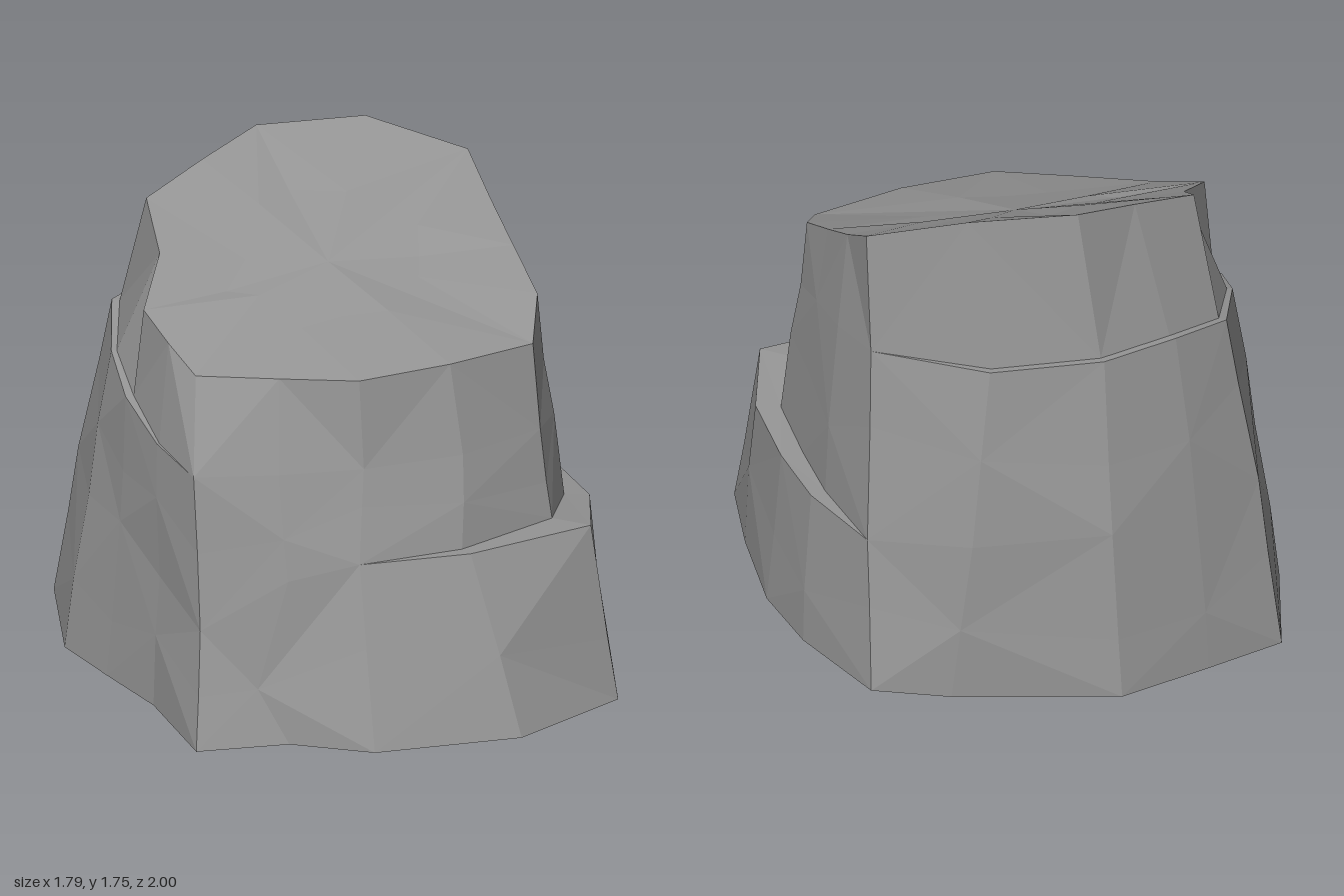
import * as THREE from 'three';

const V = (x, y, z) => new THREE.Vector3(x, y, z);

// Cross-sections run back -> left (+x) -> front -> right (-x).
const base = [
  [-0.12, -1], [0.46, -0.84], [0.72, -0.72], [0.85, -0.3],
  [0.89, 0.03], [0.85, 0.45], [0.79, 0.8], [0.36, 1],
  [-0.17, 0.95], [-0.43, 0.78], [-0.76, 0.73], [-0.77, 0.3],
  [-0.84, 0], [-0.9, -0.28], [-0.77, -0.77], [-0.47, -0.88],
].map(([x, z]) => V(x, 0.01 + 0.01 * z, z));

const ledge = [
  [-0.11, 0.6, -0.91], [0.38, 0.58, -0.83], [0.7, 0.54, -0.6], [0.81, 0.56, -0.26],
  [0.84, 0.58, 0.02], [0.84, 0.61, 0.35], [0.73, 0.65, 0.68], [0.25, 0.65, 0.77],
  [-0.15, 0.65, 0.73], [-0.4, 0.6, 0.68], [-0.7, 0.42, 0.6], [-0.74, 0.5, 0.28],
  [-0.79, 0.6, 0], [-0.82, 0.6, -0.25], [-0.72, 0.6, -0.65], [-0.45, 0.6, -0.79],
].map(p => V(...p));

const shoulder = [
  [-0.12, 1.22, -0.77], [0.29, 1.22, -0.74], [0.65, 1.22, -0.47], [0.7, 1.2, -0.22],
  [0.71, 1.18, 0.02], [0.7, 1.12, 0.26], [0.6, 0.97, 0.51], [0.27, 0.97, 0.63],
  [-0.1, 0.97, 0.63], [-0.4, 0.97, 0.58], [-0.69, 0.97, 0.5], [-0.74, 1, 0.25],
  [-0.77, 1.08, 0], [-0.74, 1.15, -0.24], [-0.63, 1.2, -0.55], [-0.41, 1.22, -0.67],
].map(p => V(...p));

const rim = [
  [-0.06, 1.75, -0.64], [0.33, 1.75, -0.59], [0.65, 1.65, -0.41], [0.66, 1.55, -0.2],
  [0.67, 1.46, 0.02], [0.68, 1.37, 0.25], [0.59, 1.28, 0.46], [0.25, 1.29, 0.55],
  [-0.1, 1.29, 0.58], [-0.36, 1.29, 0.47], [-0.63, 1.29, 0.35], [-0.68, 1.36, 0.2],
  [-0.72, 1.43, 0.05], [-0.58, 1.53, -0.18], [-0.55, 1.64, -0.41], [-0.3, 1.7, -0.53],
].map(p => V(...p));

// Step a ring inward by a different depth at each corner.
const inset = (ring, depths) => ring.map((p, i) => {
  const s = 1 - depths[i] / Math.hypot(p.x, p.z);
  return V(p.x * s, p.y, p.z * s);
});

// Intermediate ring, alternately swollen and hollowed for a chipped surface.
const between = (a, b, t, wobble) => a.map((p, i) => {
  const q = p.clone().lerp(b[i], t + (i % 3 - 1) * 0.1);
  const s = 1 + (i % 2 ? wobble : -wobble * 0.4);
  return V(q.x * s, q.y, q.z * s);
});

function loft(rings) {
  const out = [];
  const tri = (...pts) => pts.forEach(p => out.push(p.x, p.y, p.z));
  for (let r = 0; r < rings.length - 1; r++) {
    const lo = rings[r], hi = rings[r + 1];
    lo.forEach((a, i) => {
      const j = (i + 1) % lo.length;
      // Alternate the diagonal so the facets look irregular.
      if ((i + r) % 2) {
        tri(a, hi[i], lo[j]);
        tri(lo[j], hi[i], hi[j]);
      } else {
        tri(a, hi[i], hi[j]);
        tri(a, hi[j], lo[j]);
      }
    });
  }
  return toGeometry(out);
}

function toGeometry(positions) {
  const g = new THREE.BufferGeometry();
  g.setAttribute('position', new THREE.Float32BufferAttribute(positions, 3));
  g.computeVertexNormals();
  return g;
}

export function createModel() {
  const group = new THREE.Group();
  group.name = 'rock';
  const material = new THREE.MeshStandardMaterial({ color: 0x949494, flatShading: true });
  const add = (name, geometry) => {
    const mesh = new THREE.Mesh(geometry, material);
    mesh.name = name;
    group.add(mesh);
  };

  // Narrow ledges where the layers step in
  const ledgeInner = inset(ledge, [0, 0, 0, 0.06, 0.08, 0.09, 0.15, 0.05, 0, 0, 0, 0, 0, 0, 0, 0]);
  const shoulderInner = inset(shoulder, [0.03, 0.03, 0, 0, 0, 0, 0, 0, 0, 0, 0, 0.01, 0.03, 0.02, 0.03, 0.03]);

  // Lower layer, with a diagonal crease above the wedge at the front right corner
  const lowerMiddle = between(base, ledge, 0.45, 0.008);
  lowerMiddle[9].set(-0.52, 0.21, 0.7);
  add('lowerLayer', loft([base, lowerMiddle, ledge]));
  add('lowerLedge', loft([ledge, ledgeInner]));
  add('middleLayer', loft([ledgeInner, between(ledgeInner, shoulder, 0.5, 0.01), shoulder]));
  add('upperLedge', loft([shoulder, shoulderInner]));
  add('upperLayer', loft([shoulderInner, rim]));

  // Slanted top with shallow facets, closing at its centre
  const topCentre = V(0, 1.47, -0.04);
  const topInner = rim.map((p, i) => {
    const q = p.clone().lerp(topCentre, 0.45 + (i % 3) * 0.06);
    q.y += (i % 4 - 2) * 0.006;
    return q;
  });
  add('slantedTop', loft([rim, topInner, rim.map(() => topCentre)]));

  // Flat underside
  add('underside', loft([base.map(() => V(0, 0.01, 0)), base]));
  return group;
}
